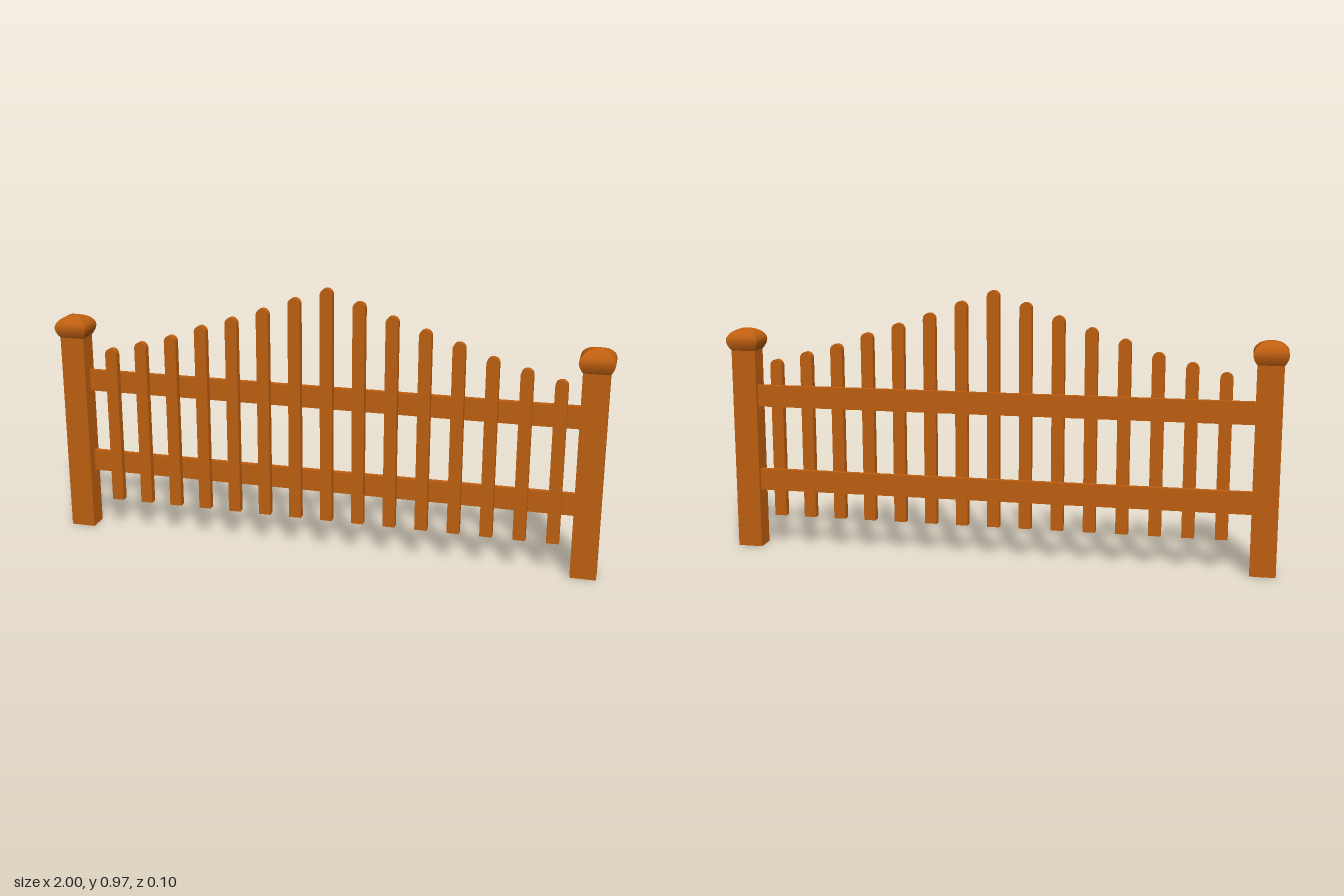
import * as THREE from 'three';

const wood = new THREE.MeshStandardMaterial({ color: 0xc06010 });
wood.name = 'orange wood';

const POST_X = 0.94, POST_W = 0.09, POST_D = 0.074, POST_H = 0.737;

function addMesh(parent, name, geometry, x = 0, y = 0, z = 0) {
  const mesh = new THREE.Mesh(geometry, wood);
  mesh.name = name;
  mesh.position.set(x, y, z);
  parent.add(mesh);
}

// Four-sided domed cap: each side is a strip, smooth vertically and sharp at the corners
function capGeometry() {
  // [half depth, height]
  const profile = [
    [0.037, 0], [0.042, 0.008], [0.0475, 0.022], [0.05, 0.036], [0.0485, 0.047],
    [0.044, 0.057], [0.036, 0.067], [0.025, 0.075], [0.012, 0.08], [0, 0.082],
  ];
  const stretch = 1.2;
  const corners = [[-1, 1], [1, 1], [1, -1], [-1, -1]];
  const positions = [], indices = [];
  for (let side = 0; side < 4; side++) {
    const a = corners[side], b = corners[(side + 1) % 4];
    const base = side * profile.length * 2;
    profile.forEach(([r, y], i) => {
      for (const c of [a, b]) positions.push(c[0] * r * stretch, y, c[1] * r);
      if (i === profile.length - 1) return;
      const k = base + i * 2;
      indices.push(k, k + 1, k + 3);
      if (i < profile.length - 2) indices.push(k, k + 3, k + 2);
    });
  }
  const geometry = new THREE.BufferGeometry();
  geometry.setAttribute('position', new THREE.Float32BufferAttribute(positions, 3));
  geometry.setIndex(indices);
  geometry.computeVertexNormals();
  return geometry;
}

// Slat with a rounded top
function picketGeometry(bottom, top) {
  const r = 0.022;
  const shape = new THREE.Shape();
  shape.moveTo(-r, bottom);
  shape.lineTo(r, bottom);
  shape.lineTo(r, top - r);
  shape.absarc(0, top - r, r, 0, Math.PI, false);
  shape.closePath();
  return new THREE.ExtrudeGeometry(shape, { depth: 0.027, bevelEnabled: false, curveSegments: 8 });
}

export function createModel() {
  const fence = new THREE.Group();
  fence.name = 'fence';

  // End posts with caps
  const post = new THREE.BoxGeometry(POST_W, POST_H, POST_D);
  const cap = capGeometry();
  for (const [side, sign] of [['left', 1], ['right', -1]]) {
    addMesh(fence, side + 'Post', post, sign * POST_X, POST_H / 2);
    addMesh(fence, side + 'PostCap', cap, sign * POST_X, POST_H - 0.001);
  }

  // Horizontal rails behind the pickets
  const rail = new THREE.BoxGeometry(1.81, 0.079, 0.02);
  addMesh(fence, 'lowerRail', rail, 0, 0.255, -0.012);
  addMesh(fence, 'upperRail', rail, 0, 0.569, -0.012);

  // Pickets rising to the middle
  const tops = [0.968, 0.928, 0.884, 0.845, 0.808, 0.765, 0.733, 0.702];
  for (let i = -7; i <= 7; i++) {
    addMesh(fence, 'picket' + (i + 8), picketGeometry(0.115, tops[Math.abs(i)]), 0.017 + i * 0.116, 0, -0.002);
  }
  return fence;
}
